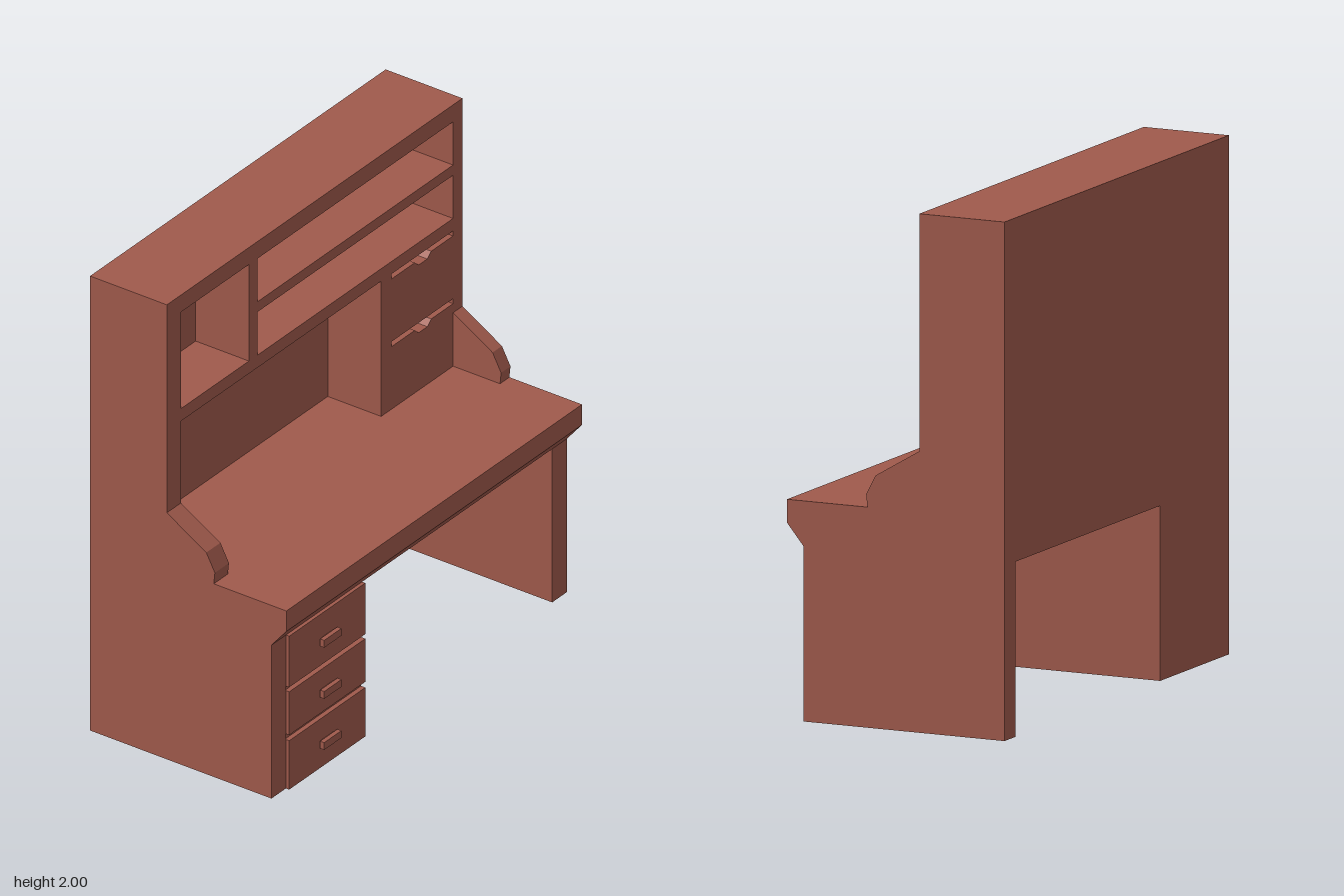
import * as THREE from 'three';

const wood = new THREE.MeshStandardMaterial({ color: 0xa05a4c });
wood.name = 'reddish wood';

const toPath = (pts, Type) => new Type(pts.map(([x, y]) => new THREE.Vector2(x, y)));
const rect = (x0, x1, y0, y1) => [[x0, y0], [x1, y0], [x1, y1], [x0, y1]];

export function createModel() {
  const desk = new THREE.Group();
  desk.name = 'deskWithHutch';

  const add = (name, geometry) => {
    const mesh = new THREE.Mesh(geometry, wood);
    mesh.name = name;
    desk.add(mesh);
  };
  // Box given by its limits on each axis
  const box = (name, x0, x1, y0, y1, z0, z1) => add(name,
    new THREE.BoxGeometry(x1 - x0, y1 - y0, z1 - z0)
      .translate((x0 + x1) / 2, (y0 + y1) / 2, (z0 + z1) / 2));
  // Side profile of [z, y] points, swept from x0 to x1
  const sweep = (name, pts, x0, x1) => add(name,
    new THREE.ExtrudeGeometry(toPath(pts, THREE.Shape), { depth: x1 - x0, bevelEnabled: false })
      .rotateY(-Math.PI / 2).translate(x1, 0, 0));

  const W = 0.945, BACK = -0.46, HUTCH = -0.10, INNER = -0.35;

  // Worktop with a bevelled underside at the front
  sweep('worktop', [[BACK, 0.675], [0.39, 0.675], [0.46, 0.76], [0.46, 0.85], [BACK, 0.85]], -W, W);

  // Supports
  box('drawerPedestal', -W, -0.365, 0, 0.675, BACK, 0.385);
  box('sideLeg', 0.85, W, 0, 0.675, BACK, 0.39);
  box('pedestalStile', -W, -0.852, 0, 0.675, 0.385, 0.39);

  // Drawer fronts with pulls
  [[0, 0.215, 0.11], [0.24, 0.43, 0.335], [0.45, 0.675, 0.56]].forEach(([y0, y1, y]) => {
    box('drawerFront', -0.852, -0.365, y0, y1, 0.385, 0.405);
    box('drawerPullNeck', -0.645, -0.575, y - 0.01, y + 0.01, 0.405, 0.415);
    box('drawerPull', -0.665, -0.555, y - 0.016, y + 0.016, 0.413, 0.432);
  });

  // Hutch front block: shelves, trays and the open work niche
  const front = toPath([
    [-W, 0.85], [-0.855, 0.85], [-0.855, 1.445], [0.425, 1.445],
    [0.425, 0.85], [W, 0.85], [W, 2], [-W, 2],
  ], THREE.Shape);
  const traySlot = (y) => [
    [0.49, y], [0.64, y], [0.665, y - 0.022], [0.72, y - 0.022], [0.745, y],
    [0.885, y], [0.885, y + 0.022], [0.49, y + 0.022],
  ];
  [
    rect(-0.855, -0.42, 1.5, 1.925),
    rect(-0.365, 0.885, 1.735, 1.925),
    rect(-0.365, 0.885, 1.5, 1.69),
    traySlot(1.423), traySlot(1.125),
  ].forEach((pts) => front.holes.push(toPath(pts, THREE.Path)));
  add('hutchShelving', new THREE.ExtrudeGeometry(front, { depth: HUTCH - INNER, bevelEnabled: false })
    .translate(0, 0, INNER));
  box('hutchBack', -W, W, 0.85, 2, BACK, INNER);

  // Curved brackets where the hutch meets the worktop
  const bracket = [[HUTCH, 0.85], [0.12, 0.85], [0.125, 0.9], [0.085, 0.975], [HUTCH, 1.085]];
  sweep('rightBracket', bracket, -W, -0.855);
  sweep('leftBracket', bracket, 0.885, W);

  return desk;
}
